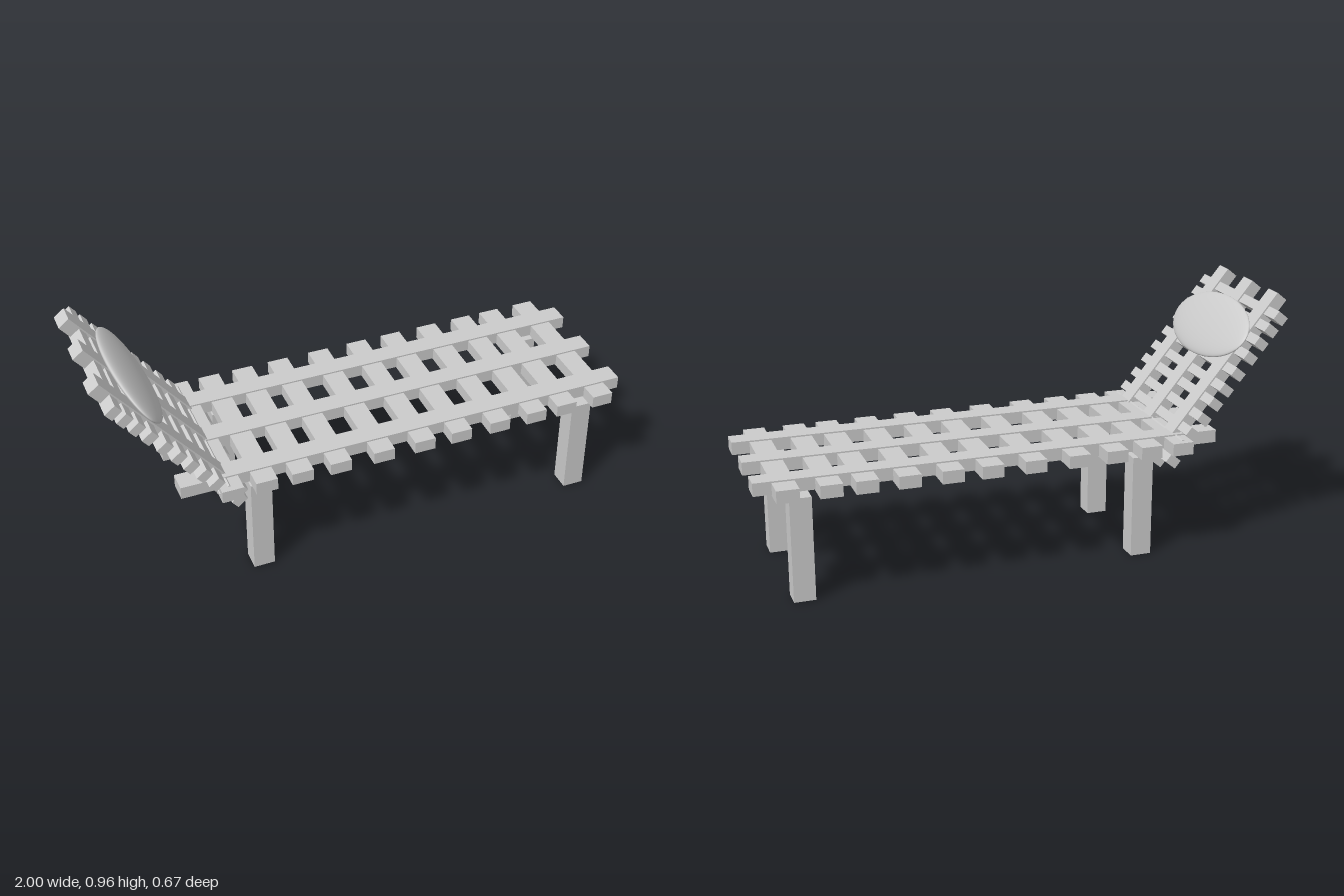
import * as THREE from 'three';

const material = new THREE.MeshStandardMaterial({ color: 0xcccccc });

function box(name, w, h, d, x, y, z) {
  const mesh = new THREE.Mesh(new THREE.BoxGeometry(w, h, d), material);
  mesh.name = name;
  mesh.position.set(x, y, z);
  return mesh;
}

// Lattice of three long rails crossed by uneven slats, centred on its rails
function createLattice(name) {
  const lattice = new THREE.Group();
  lattice.name = name;
  for (const z of [-0.211, 0.003, 0.224]) {
    lattice.add(box('rail', 1.727, 0.048, 0.077, 0, 0, z));
  }
  const slats = [-0.695, -0.571, -0.437, -0.293, -0.127, 0.033, 0.178, 0.333, 0.483, 0.608, 0.758];
  for (const x of slats) {
    lattice.add(box('slat', 0.08, 0.047, 0.666, x, -0.005, 0));
  }
  return lattice;
}

export function createModel() {
  const lounger = new THREE.Group();
  lounger.name = 'sunLounger';

  // Flat bed
  const bed = createLattice('bed');
  bed.position.set(0.136, 0.436, 0);
  lounger.add(bed);

  // Reclined backrest: the same lattice, shortened and tilted
  const backrest = new THREE.Group();
  backrest.name = 'backrest';
  backrest.position.set(-0.739, 0.645, 0);
  backrest.rotation.z = -THREE.MathUtils.degToRad(51);
  const backLattice = createLattice('backLattice');
  backLattice.scale.set(0.446, 1, 0.93);
  backrest.add(backLattice);

  // Oval head cushion lying on the backrest
  const cushion = new THREE.Mesh(new THREE.SphereGeometry(1, 48, 32), material);
  cushion.name = 'headCushion';
  cushion.scale.set(0.128, 0.025, 0.278);
  cushion.position.set(-0.162, 0.04, 0.002);
  backrest.add(cushion);
  lounger.add(backrest);

  // Four square legs
  const legs = [[-0.435, 0.226], [-0.435, -0.216], [0.838, 0.245], [0.838, -0.214]];
  for (const [x, z] of legs) {
    lounger.add(box('leg', 0.079, 0.388, 0.076, x, 0.194, z));
  }
  return lounger;
}
